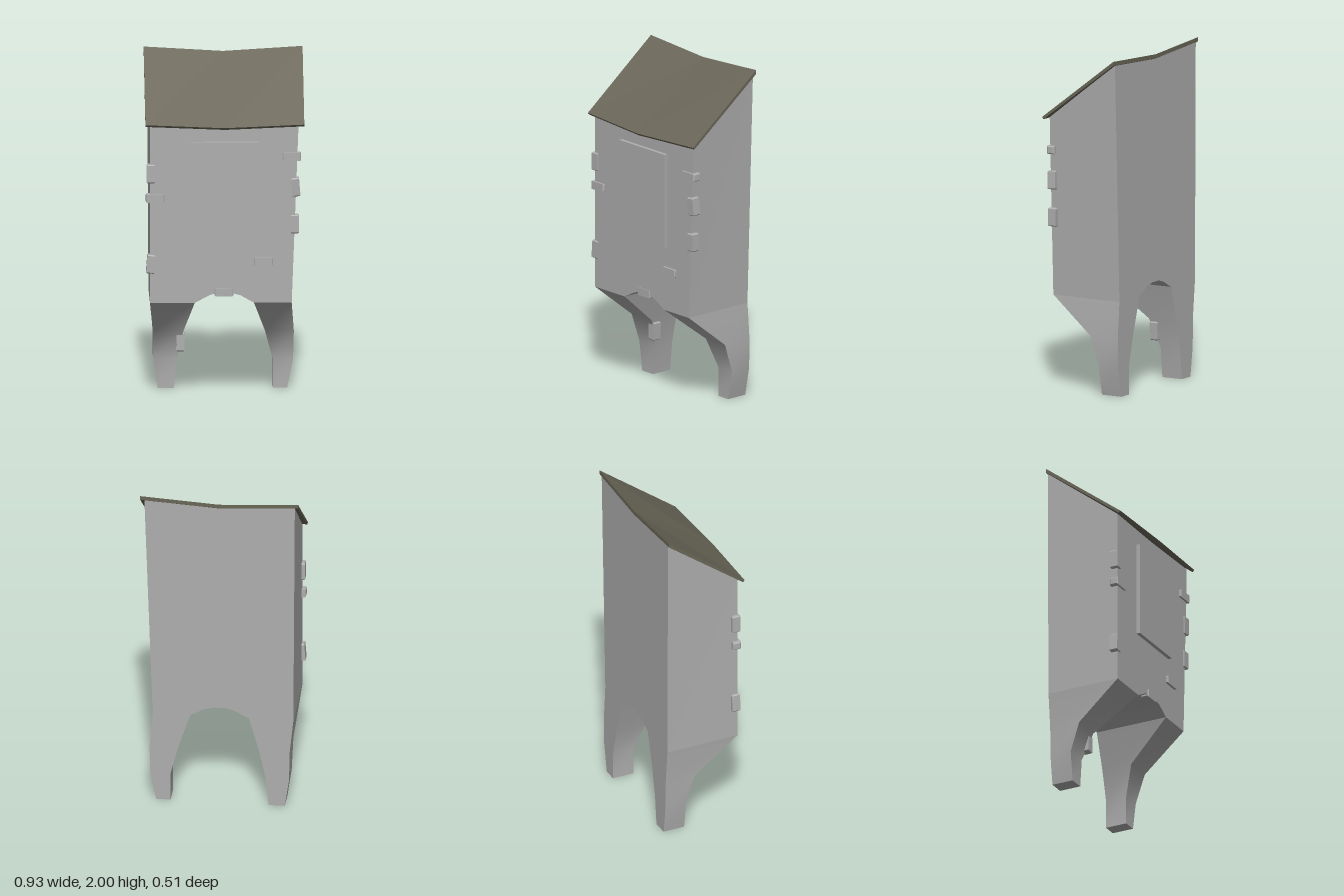
import * as THREE from 'three';
import { toCreasedNormals } from 'three/addons/utils/BufferGeometryUtils.js';

const BACK = -0.255, FRONT = 0.2;

// Moves every vertex by a rule, then restores sharp-edged normals
function reshape(geometry, rule) {
  const g = geometry.index ? geometry.toNonIndexed() : geometry;
  const p = g.attributes.position;
  const v = new THREE.Vector3();
  for (let i = 0; i < p.count; i++) {
    v.fromBufferAttribute(p, i);
    rule(v);
    p.setXYZ(i, v.x, v.y, v.z);
  }
  g.computeVertexNormals();
  return g;
}

// Tapering leg lofted through rows of [y, x1, x2, zFront]
function legGeometry(rows) {
  const pos = [], index = [];
  for (const [y, x1, x2, zf] of rows) {
    pos.push(x1, y, zf, x2, y, zf, x2, y, BACK, x1, y, BACK);
  }
  for (let r = 0; r < rows.length - 1; r++) {
    for (let k = 0; k < 4; k++) {
      const a = r * 4 + k, b = r * 4 + (k + 1) % 4;
      index.push(a, b, b + 4, a, b + 4, a + 4);
    }
  }
  index.push(0, 3, 2, 0, 2, 1);
  const g = new THREE.BufferGeometry();
  g.setAttribute('position', new THREE.Float32BufferAttribute(pos, 3));
  g.setIndex(index);
  return toCreasedNormals(g, 0.7);
}

// Small block with chamfered ends, lying along x
function blockGeometry() {
  const bevel = 0.006, w = 0.024 - bevel, h = 0.026 - bevel, length = 0.11 - 2 * bevel;
  const s = new THREE.Shape([
    new THREE.Vector2(-h, -w), new THREE.Vector2(h, -w),
    new THREE.Vector2(h, w), new THREE.Vector2(-h, w),
  ]);
  const g = new THREE.ExtrudeGeometry(s, {
    depth: length, bevelEnabled: true, bevelSize: bevel, bevelThickness: bevel, bevelSegments: 1,
  });
  return g.translate(0, 0, -length / 2).rotateY(Math.PI / 2);
}

export function createModel() {
  const model = new THREE.Group();
  model.name = 'stiltedHut';
  const stone = new THREE.MeshStandardMaterial({ color: 0xaeaeae });
  stone.name = 'grey stone';
  const roofing = new THREE.MeshStandardMaterial({ color: 0x6a6658 });
  roofing.name = 'olive roofing';

  const add = (name, geometry, material = stone) => {
    const mesh = new THREE.Mesh(geometry, material);
    mesh.name = name;
    model.add(mesh);
    return mesh;
  };

  // Upper walls with the arch cut into the lower edge; the top slopes up to the back
  const outline = [
    [-0.435, 0.565], [-0.175, 0.565], [-0.09, 0.61], [-0.04, 0.625], [0.03, 0.625],
    [0.09, 0.61], [0.17, 0.565], [0.39, 0.565], [0.43, 1.622], [0, 1.615], [-0.435, 1.622],
  ].map(([x, y]) => new THREE.Vector2(x, y));
  const walls = new THREE.ExtrudeGeometry(new THREE.Shape(outline), {
    depth: FRONT - BACK, bevelEnabled: false,
  }).translate(0, 0, BACK);
  add('walls', reshape(walls, (v) => {
    if (v.y > 1.5 && v.z < 0) {
      v.y += v.x === 0 ? 0.335 : 0.352;
      v.x *= 1.02;
    }
  }));

  // Legs
  add('leftLeg', legGeometry([
    [0, 0.285, 0.37, -0.122], [0.175, 0.285, 0.405, -0.122],
    [0.35, 0.24, 0.408, -0.065], [0.565, 0.17, 0.39, FRONT],
  ]));
  add('rightLeg', legGeometry([
    [0, -0.385, -0.29, -0.122], [0.175, -0.41, -0.272, -0.122],
    [0.35, -0.413, -0.235, -0.065], [0.565, -0.435, -0.175, FRONT],
  ]));

  // Sloping roof slab, sagging along the middle
  const slab = new THREE.BoxGeometry(0.926, 1, 1, 2, 1, 1);
  add('roof', reshape(slab, (v) => {
    const middle = Math.abs(v.x) < 0.01, under = v.y < 0;
    if (v.z < 0) {
      v.z = -0.258;
      v.y = (middle ? 1.972 : 2) - (under ? 0.024 : 0);
    } else {
      v.z = (middle ? 0.255 : 0.232) - (under ? 0.01 : 0);
      v.y = (middle ? 1.61 : 1.625) - (under ? 0.012 : 0);
    }
  }), roofing);

  // Door panel
  add('doorPanel', new THREE.BoxGeometry(0.4, 0.57, 0.03)).position.set(0, 1.235, 0.208);

  // Protruding blocks: x, y, z, roll, pitch
  const up = Math.PI / 2;
  const block = blockGeometry();
  [
    [0.39, 1.43, 0.187, 0, 0],
    [0.413, 1.25, 0.184, up + 0.08, 0.05],
    [0.408, 1.03, 0.184, up, 0],
    [-0.431, 1.33, 0.184, up, 0],
    [-0.405, 1.185, 0.187, 0, 0],
    [-0.431, 0.795, 0.182, up - 0.08, 0],
    [0.225, 0.808, 0.189, 0, 0],
    [-0.005, 0.628, 0.179, 0, 0],
    [-0.252, 0.28, -0.1, up - 0.04, 0],
  ].forEach(([x, y, z, roll, pitch], i) => {
    const mesh = add(`stoneBlock${i + 1}`, block);
    mesh.position.set(x, y, z);
    mesh.rotation.set(pitch, 0, roll);
  });

  return model;
}
